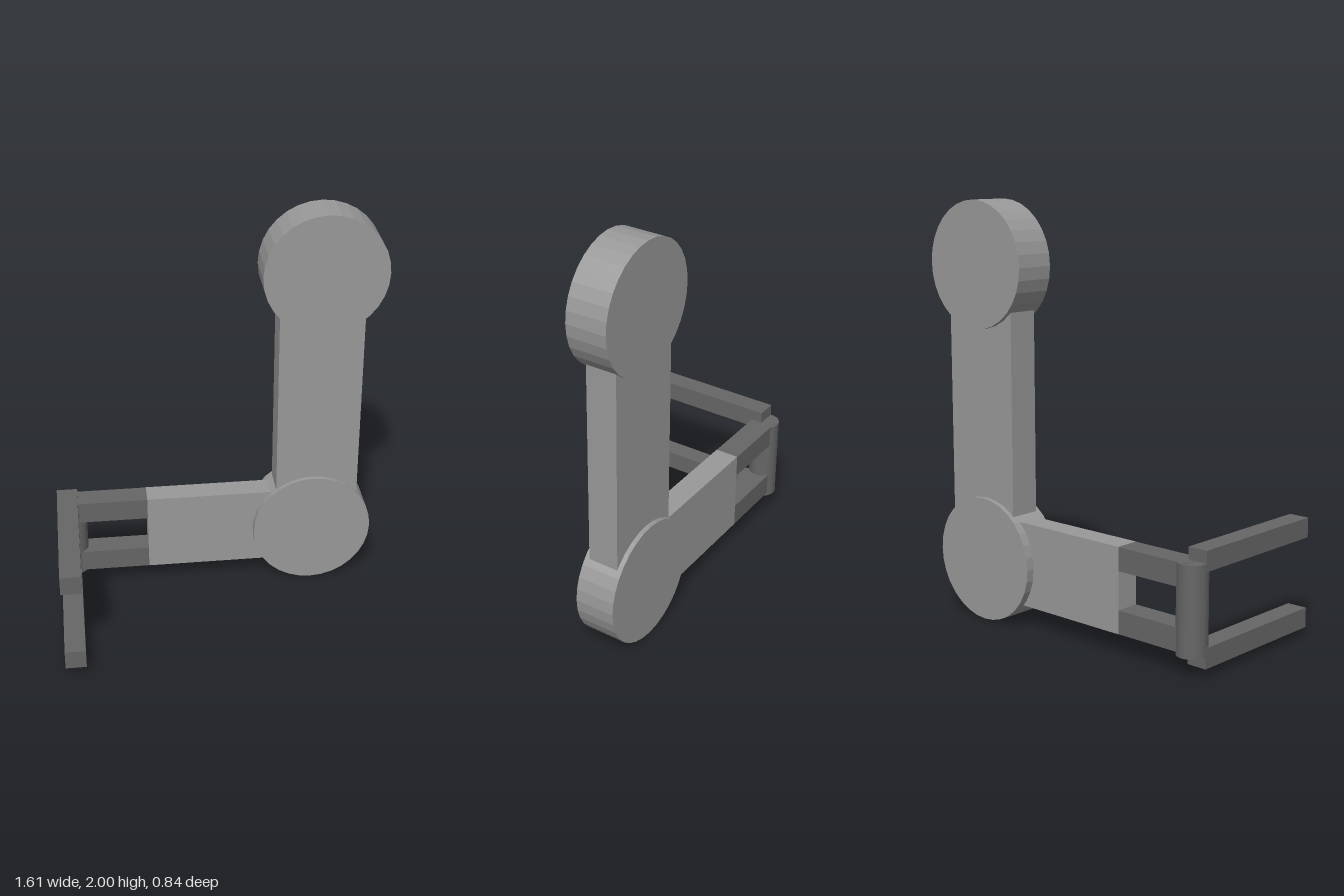
import * as THREE from 'three';

export function createModel() {
  const model = new THREE.Group();
  const light = new THREE.MeshStandardMaterial({ color: 0x999999, flatShading: true });
  const dark = new THREE.MeshStandardMaterial({ color: 0x666666, flatShading: true });

  function add(name, geometry, material, x, y, z) {
    const mesh = new THREE.Mesh(geometry, material);
    mesh.name = name;
    mesh.position.set(x, y, z);
    model.add(mesh);
  }

  // Box given by its extents on each axis
  function box(name, material, [x0, x1], [y0, y1], [z0, z1]) {
    add(name, new THREE.BoxGeometry(x1 - x0, y1 - y0, z1 - z0), material,
      (x0 + x1) / 2, (y0 + y1) / 2, (z0 + z1) / 2);
  }

  // Round joints, axes along z
  const disc = new THREE.CylinderGeometry(0.299, 0.299, 0.196, 32).rotateX(Math.PI / 2);
  add('shoulderJoint', disc, light, 0.505, 1.701, -0.324);
  add('elbowJoint', disc, light, 0.475, 0.299, -0.324);

  // Arm segments, ending inside the joints
  const armZ = [-0.382, -0.265];
  box('upperArm', light, [0.291, 0.702], [0.4, 1.6], [-0.399, -0.249]);
  box('forearm', light, [-0.358, 0.4], [0.107, 0.51], armZ);

  // Wrist fork and the upright hinge pin
  box('wristBarTop', dark, [-0.735, -0.358], [0.399, 0.509], armZ);
  box('wristBarBottom', dark, [-0.735, -0.358], [0.108, 0.218], armZ);
  add('wristPin', new THREE.CylinderGeometry(0.071, 0.071, 0.415, 32), dark, -0.734, 0.3, -0.326);

  // Two forward prongs
  const prongX = [-0.805, -0.705], prongZ = [-0.32, 0.422];
  box('prongTop', dark, prongX, [0.471, 0.565], prongZ);
  box('prongBottom', dark, prongX, [0.039, 0.133], prongZ);

  return model;
}
